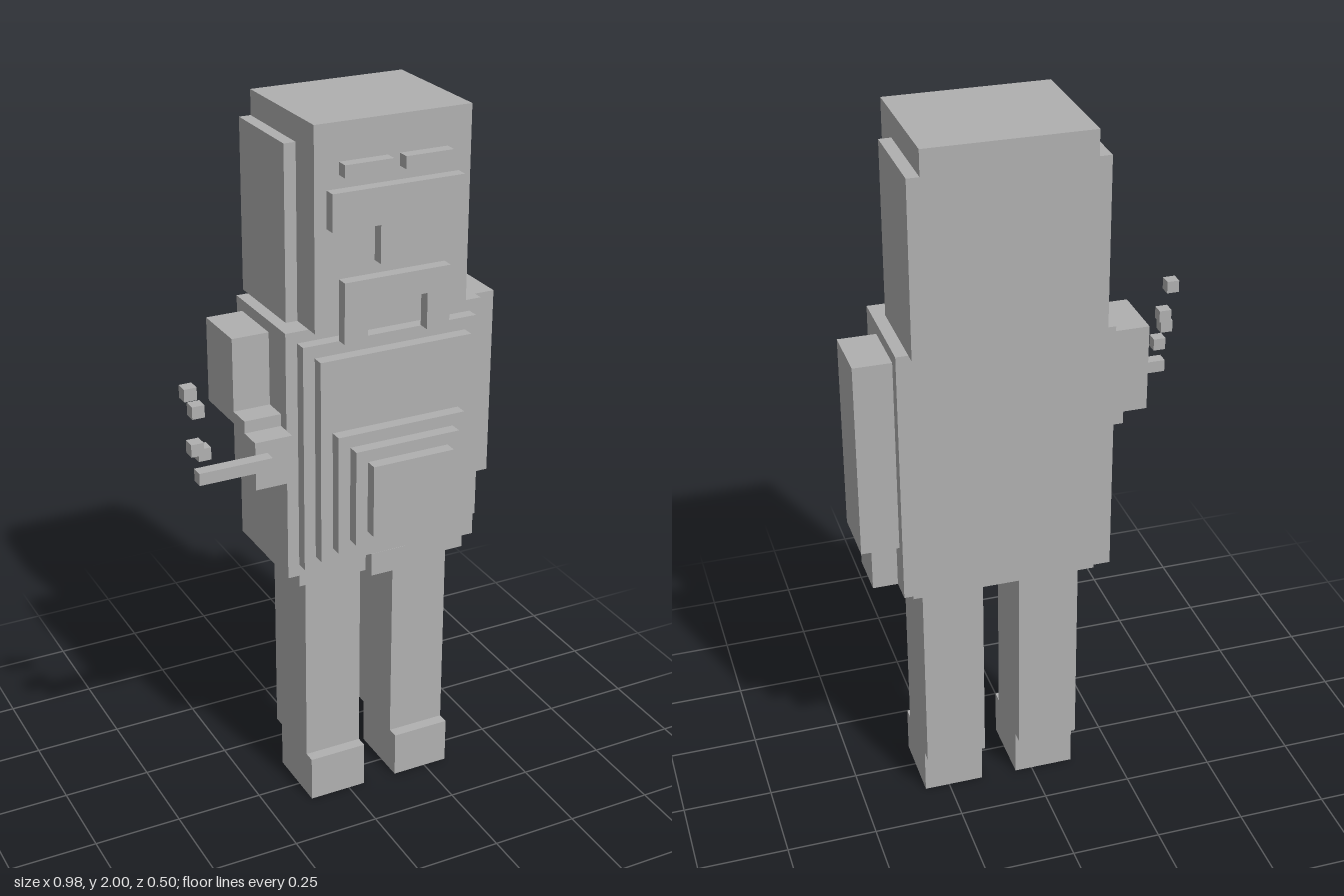
import * as THREE from 'three';

export function createModel() {
  const model = new THREE.Group();
  model.name = 'blockFigure';
  const grey = new THREE.MeshStandardMaterial({ color: 0xb0b0b0 });
  grey.name = 'plain grey';

  // Box given by its limits on each axis
  const box = (name, [x0, x1], [y0, y1], [z0, z1], parent = model) => {
    const mesh = new THREE.Mesh(new THREE.BoxGeometry(x1 - x0, y1 - y0, z1 - z0), grey);
    mesh.position.set((x0 + x1) / 2, (y0 + y1) / 2, (z0 + z1) / 2);
    mesh.name = name;
    parent.add(mesh);
  };
  const group = (name) => {
    const g = new THREE.Group();
    g.name = name;
    model.add(g);
    return g;
  };
  const mid = 0.1; // body centre line
  const wide = (half) => [mid - half, mid + half];
  const face = [0.118, 0.151];

  // Head with side hair panels
  const head = group('head');
  box('skull', wide(0.22), [1.46, 2], [-0.252, 0.118], head);
  box('rightSideHair', [-0.153, -0.12], [1.46, 1.932], [-0.252, 0.016], head);
  box('leftSideHair', [0.32, 0.353], [1.46, 1.932], [-0.252, 0.016], head);

  // Raised facial features
  box('rightEyebrow', [-0.052, 0.083], [1.867, 1.9], face, head);
  box('leftEyebrow', [0.117, 0.252], [1.867, 1.9], face, head);
  box('glasses', wide(0.186), [1.733, 1.832], face, head);
  box('nose', wide(0.051), [1.631, 1.733], face, head);
  box('moustache', wide(0.152), [1.53, 1.596], face, head);
  box('rightMoustacheEnd', [-0.052, 0.014], [1.43, 1.53], face, head);
  box('leftMoustacheEnd', [0.186, 0.252], [1.43, 1.53], face, head);

  // Torso, hips and stepped belly
  const body = group('body');
  box('torso', wide(0.286), [0.75, 1.46], [-0.22, 0.083], body);
  box('hips', wide(0.253), [0.716, 0.75], [-0.185, 0.083], body);
  box('buckle', wide(0.051), [0.716, 0.784], [0.083, 0.118], body);
  [[0.253, 0.784, 1.428], [0.22, 0.818, 1.393], [0.186, 0.852, 1.19],
    [0.152, 0.885, 1.156], [0.118, 0.919, 1.122]].forEach(([half, y0, y1], i) => {
    const z = 0.083 + i * 0.034;
    box('bellyStep' + (i + 1), wide(half), [y0, y1], [z, z + 0.034], body);
  });

  // Left arm hangs straight
  const leftArm = group('leftArm');
  box('sleeve', [0.386, 0.488], [0.885, 1.428], [-0.185, -0.018], leftArm);
  box('hand', [0.386, 0.454], [0.75, 0.885], [-0.151, -0.018], leftArm);

  // Right arm is bent forward and holds a stick
  const rightArm = group('rightArm');
  box('upperArm', [-0.29, -0.186], [1.19, 1.428], [-0.185, -0.018], rightArm);
  box('forearm', [-0.29, -0.186], [1.055, 1.224], [-0.018, 0.05], rightArm);
  box('hand', [-0.29, -0.186], [1.055, 1.19], [0.05, 0.116], rightArm);
  box('stick', [-0.46, -0.256], [1.122, 1.156], [0.116, 0.15], rightArm);

  // Floating smoke cubes above the stick
  const smoke = group('smoke');
  [[-0.476, 1.377, 0.134], [-0.443, 1.309, 0.1], [-0.476, 1.241, 0.168], [-0.443, 1.207, 0.134]]
    .forEach(([x, y, z]) => {
      const span = (c) => [c - 0.017, c + 0.017];
      box('smokeCube', span(x), span(y), span(z), smoke);
    });

  // Legs and feet
  for (const [side, x] of [['right', [-0.12, 0.049]], ['left', [0.151, 0.32]]]) {
    const leg = group(side + 'Leg');
    box('shin', x, [0.135, 0.716], [-0.151, 0.05], leg);
    box('foot', x, [0, 0.135], [-0.117, 0.083], leg);
  }
  return model;
}
